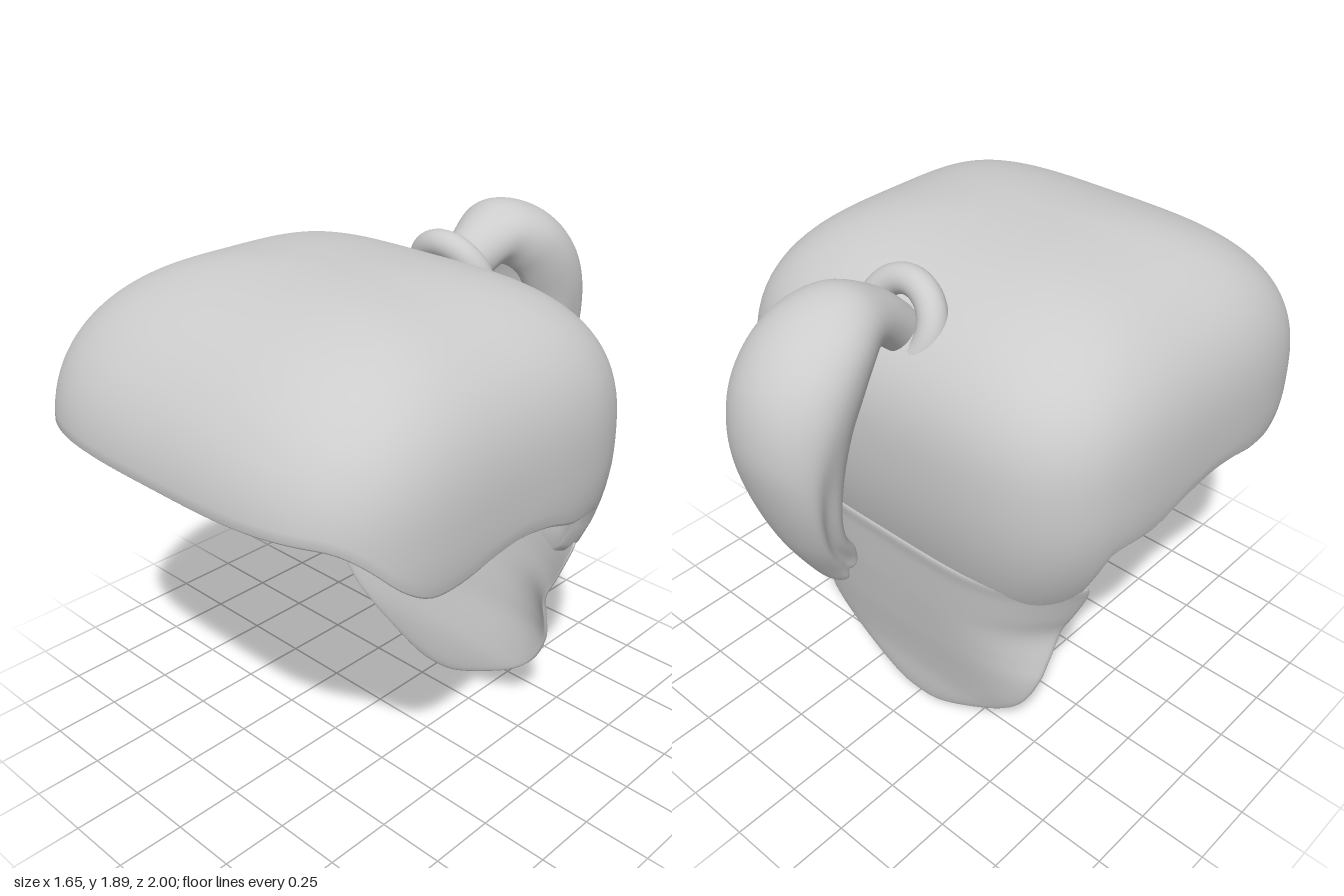
import * as THREE from 'three';
import { mergeVertices } from 'three/addons/utils/BufferGeometryUtils.js';

const hairGrey = new THREE.MeshStandardMaterial({ color: 0xcccccc });
hairGrey.name = 'hairGrey';

// Skin a list of closed rings (arrays of Vector3) into one smooth surface
function skin(name, rings) {
  const n = rings[0].length, index = [];
  for (let i = 0; i < rings.length - 1; i++) {
    for (let j = 0; j < n; j++) {
      const k = (j + 1) % n, a = i * n, b = a + n;
      index.push(a + j, a + k, b + j, a + k, b + k, b + j);
    }
  }
  let geometry = new THREE.BufferGeometry().setFromPoints(rings.flat());
  geometry.setIndex(index);
  geometry = mergeVertices(geometry, 1e-5);
  geometry.computeVertexNormals();
  const mesh = new THREE.Mesh(geometry, hairGrey);
  mesh.name = name;
  return mesh;
}

// Smoothly resample rows of numbers
function resample(rows, count) {
  return Array.from({ length: count + 1 }, (_, i) => {
    const t = (i / count) * (rows.length - 1);
    const k = Math.min(Math.floor(t), rows.length - 2), f = t - k;
    const at = (q) => rows[THREE.MathUtils.clamp(q, 0, rows.length - 1)];
    return rows[0].map((_, c) => {
      const [p, a, b, q] = [at(k - 1)[c], at(k)[c], at(k + 1)[c], at(k + 2)[c]];
      const m = (b - p) / 2, w = (q - a) / 2;
      return a + f * (m + f * (3 * (b - a) - 2 * m - w + f * (2 * (a - b) + m + w)));
    });
  });
}

// Height of the cap's lower rim along z: [z, y]
const RIM = resample([[-0.44, 0.82], [-0.38, 0.835], [-0.32, 0.9], [-0.275, 1.05], [-0.23, 1.09], [-0.1, 1.1],
  [-0.03, 1.12], [0.06, 1.15], [0.2, 1.17], [0.35, 1.155], [0.5, 1.125], [0.6, 1.125], [0.7, 1.18],
  [0.8, 1.275], [0.87, 1.325], [0.94, 1.335]], 150);

function rimHeight(z) {
  if (z <= RIM[0][0]) return RIM[0][1];
  for (let i = 1; i < RIM.length; i++) {
    const [z0, y0] = RIM[i - 1], [z1, y1] = RIM[i];
    if (z <= z1) return y0 + (y1 - y0) * (z - z0) / (z1 - z0);
  }
  return RIM[RIM.length - 1][1];
}

const dome = (y, base, p) => Math.pow(Math.max(0, 1 - Math.pow(Math.max(0, (y - base) / (1.85 - base)), p)), 1 / p);
const sink = (y, base) => Math.max(0, base - y) ** 2;

// Rounded-square cap: v runs from crown to rim, inset moves inwards to an upright-sided hollow
function capRing(v, inset, drop = 0) {
  const ring = [], count = 192, fall = Math.pow(v, 2.5), limit = 0.83 - 1.75 * inset;
  for (let j = 0; j < count; j++) {
    const a = (j / count) * Math.PI * 2, c = Math.cos(a), s = Math.sin(a);
    const n = s > 0 ? 3.6 : 4;
    const r = Math.pow(Math.abs(c) ** n + Math.abs(s) ** n, -1 / n);
    const rim = rimHeight(0.225 + 0.765 * s * r);
    const y = 1.85 - (1.85 - rim) * fall;
    const halfX = 0.825 * dome(y, 1.25, 2.85) - 0.65 * sink(y, 1.25);
    const halfZ = s > 0 ? 0.75 * dome(y, 1.3, 2.1) : 0.79 * dome(y, 1.3, 2.5) - 0.38 * sink(y, 1.3);
    ring.push(new THREE.Vector3(
      THREE.MathUtils.clamp(halfX * c * r * (1 - 0.7 * inset), -limit, limit),
      y - inset * (1 - fall) - drop,
      0.25 + halfZ * s * r * (1 - 1.25 * inset)));
  }
  return ring;
}

function buildCap() {
  const rings = [], steps = 40;
  for (let i = 0; i <= steps; i++) rings.push(capRing(i / steps, 0));
  rings.push(capRing(1, 0.012, 0.012), capRing(1, 0.035, 0.016), capRing(1, 0.065, 0.012));
  for (let i = steps; i >= 0; i--) rings.push(capRing(i / steps, 0.08));
  return skin('hairCap', rings);
}

// Thin curved sheet over the neck: [y, half width, middle z, edge z, half thickness]
function buildNeckHair() {
  const rows = resample([
    [0.905, 0.66, -0.45, -0.28, 0], [0.885, 0.69, -0.453, -0.245, 0.026], [0.82, 0.675, -0.441, -0.225, 0.028],
    [0.72, 0.632, -0.43, -0.23, 0.028], [0.62, 0.587, -0.418, -0.24, 0.028], [0.5, 0.573, -0.4, -0.28, 0.028],
    [0.4, 0.555, -0.385, -0.31, 0.027], [0.28, 0.5, -0.362, -0.325, 0.028], [0.18, 0.4, -0.347, -0.33, 0.028],
    [0.08, 0.23, -0.343, -0.338, 0.026], [0.02, 0.1, -0.342, -0.342, 0.018], [0, 0, -0.342, -0.342, 0]], 55);
  return skin('neckHair', rows.map(([y, w, middle, edge, t]) =>
    Array.from({ length: 96 }, (_, j) => {
      const a = (j / 96) * Math.PI * 2, c = Math.cos(a), s = Math.sin(a);
      const z = middle + (edge - middle) * Math.abs(c) ** 4.5;
      return new THREE.Vector3(w * c, y, z + t * Math.sign(s) * Math.sqrt(Math.abs(s)));
    })));
}

// Drooping tail, grooved inside and waisted along its sides: [outer z, outer y, inner z, inner y, half width]
function buildTail() {
  const rows = resample([
    [-0.35, 1.73, -0.38, 1.56, 0.085], [-0.45, 1.82, -0.46, 1.62, 0.1], [-0.6, 1.89, -0.54, 1.68, 0.14],
    [-0.75, 1.865, -0.6, 1.65, 0.185], [-0.88, 1.78, -0.65, 1.58, 0.207], [-0.97, 1.65, -0.7, 1.48, 0.21],
    [-1, 1.48, -0.735, 1.35, 0.2], [-0.97, 1.3, -0.75, 1.2, 0.18], [-0.9, 1.1, -0.725, 1.08, 0.145],
    [-0.81, 0.94, -0.67, 0.98, 0.105], [-0.75, 0.865, -0.67, 0.92, 0.08], [-0.715, 0.88, -0.715, 0.88, 0]], 66);
  return skin('tail', rows.map(([zo, yo, zi, yi, w], i) =>
    Array.from({ length: 64 }, (_, j) => {
      const a = (j / 64) * Math.PI * 2, c = Math.cos(a), s = Math.sin(a);
      const groove = c < 0 ? THREE.MathUtils.smoothstep(i, 8, 22) * 0.8 * Math.exp(-((s / 0.3) ** 2)) : 0;
      const d = c < 0 ? Math.max(-1, c * 1.15) + groove : c;
      const waist = 1 - 0.3 * THREE.MathUtils.smoothstep(i, 28, 54) * Math.exp(-(((c + 0.1) / 0.3) ** 2));
      return new THREE.Vector3(w * s * waist, (yo + yi) / 2 + (yo - yi) / 2 * d, (zo + zi) / 2 + (zo - zi) / 2 * d);
    })));
}

export function createModel() {
  const model = new THREE.Group();
  model.name = 'hair';

  // Ring that ties the tail, half sunk into the cap
  const band = new THREE.Mesh(new THREE.TorusGeometry(0.132, 0.05, 20, 48), hairGrey);
  band.name = 'tailBand';
  band.position.set(0, 1.67, -0.372);
  band.rotation.x = 0.42;

  model.add(buildCap(), buildNeckHair(), buildTail(), band);
  return model;
}
